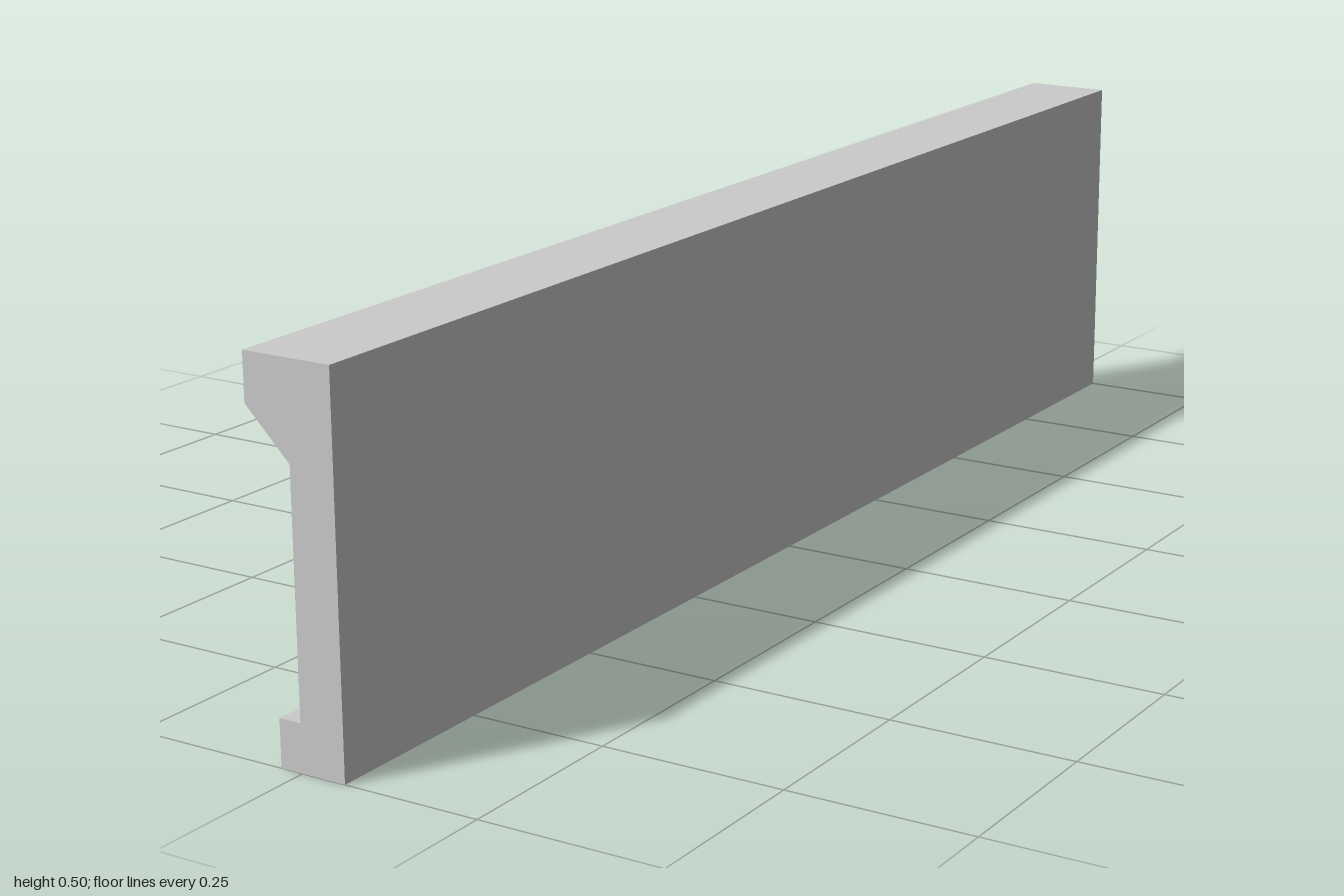
import * as THREE from 'three';

const LENGTH = 2;

// Cross-section: flat wall on +x, chamfered cap ledge and square foot on -x
const PROFILE = [
  [0.0625, 0], [0.0625, 0.5],
  [-0.0625, 0.5], [-0.0625, 0.4375], [0, 0.375],
  [0, 0.0625], [-0.03125, 0.0625], [-0.03125, 0],
];

export function createModel() {
  const group = new THREE.Group();
  group.name = 'parapetWall';

  // One straight extrusion along z, centred on the origin
  const shape = new THREE.Shape(PROFILE.map(([x, y]) => new THREE.Vector2(x, y)));
  const geometry = new THREE.ExtrudeGeometry(shape, { depth: LENGTH, bevelEnabled: false });
  geometry.translate(0, 0, -LENGTH / 2);

  const wall = new THREE.Mesh(geometry, new THREE.MeshStandardMaterial({ color: 0xcccccc, flatShading: true }));
  wall.name = 'wallWithCapAndFoot';
  group.add(wall);
  return group;
}
